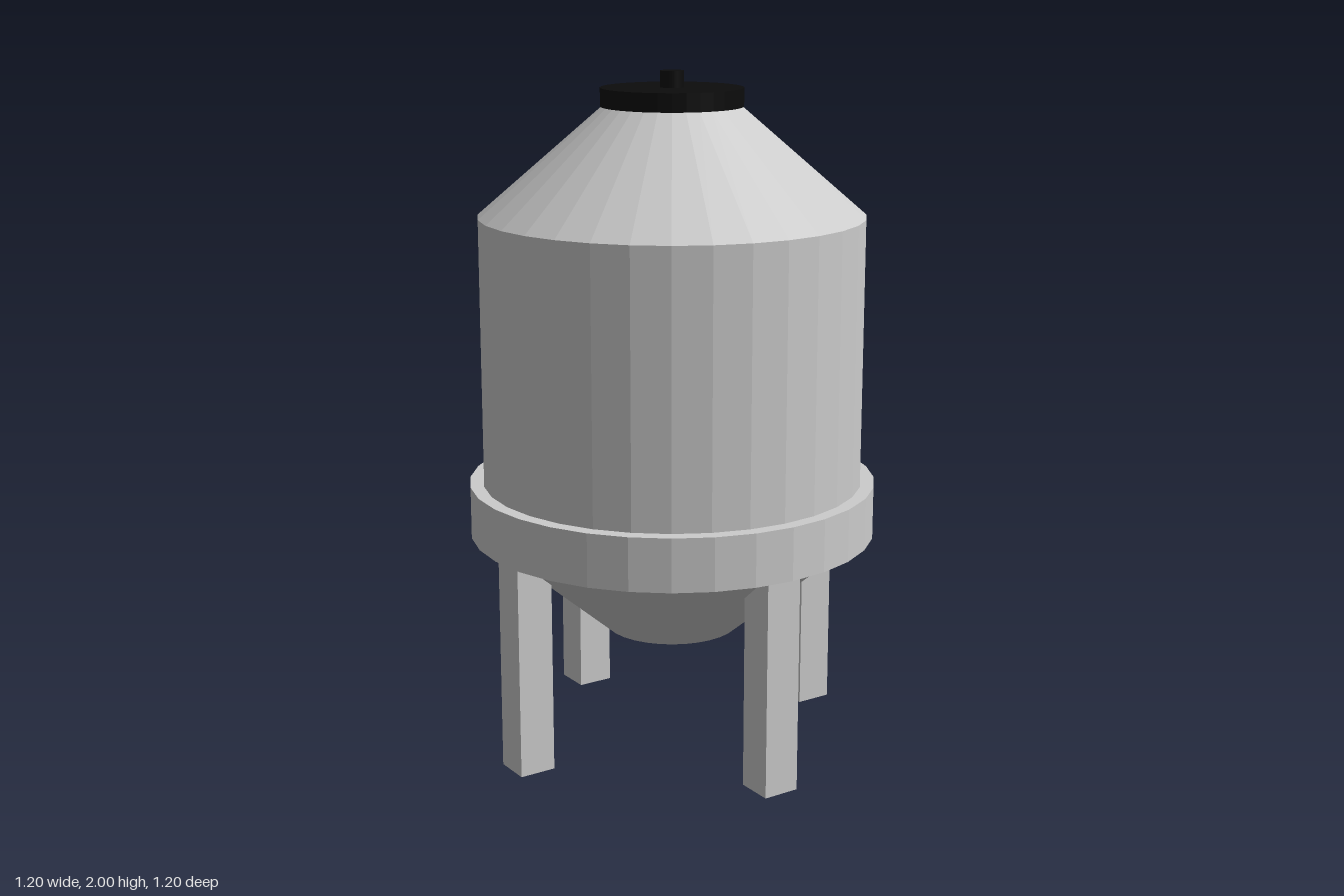
import * as THREE from 'three';

const SIDES = 32;

export function createModel() {
  const model = new THREE.Group();
  model.name = 'silo';
  const metal = new THREE.MeshStandardMaterial({ color: 0xcccccc, flatShading: true });
  const black = new THREE.MeshStandardMaterial({ color: 0x0c0c0c, flatShading: true });

  const add = (name, geometry, material = metal) => {
    const mesh = new THREE.Mesh(geometry, material);
    mesh.name = name;
    model.add(mesh);
    return mesh;
  };

  // Round part from y0 to y1, with its own radius at each end
  const drum = (name, r0, r1, y0, y1, material, open = false) => {
    const geometry = new THREE.CylinderGeometry(r1, r0, y1 - y0, SIDES, 1, open);
    add(name, geometry, material).position.y = (y0 + y1) / 2;
  };

  // Tank: discharge hopper, body and roof
  drum('hopper', 0.2, 0.56, 0.35, 0.655, metal);
  drum('tankBody', 0.56, 0.56, 0.655, 1.59, metal, true);
  drum('roof', 0.56, 0.2, 1.59, 1.9, metal);

  // Support ring around the foot of the body
  drum('supportRing', 0.6, 0.6, 0.65, 0.805, metal);

  // Lid and its knob
  drum('lid', 0.205, 0.205, 1.9, 1.953, black);
  drum('lidKnob', 0.034, 0.034, 1.953, 2, black);

  // Four square legs under the ring
  const legHeight = 0.66;
  ['leftLeg', 'frontLeg', 'rightLeg', 'backLeg'].forEach((name, i) => {
    const angle = (i * Math.PI) / 2;
    const leg = add(name, new THREE.BoxGeometry(0.11, legHeight, 0.11));
    leg.position.set(0.506 * Math.cos(angle), legHeight / 2, 0.506 * Math.sin(angle));
  });

  return model;
}
